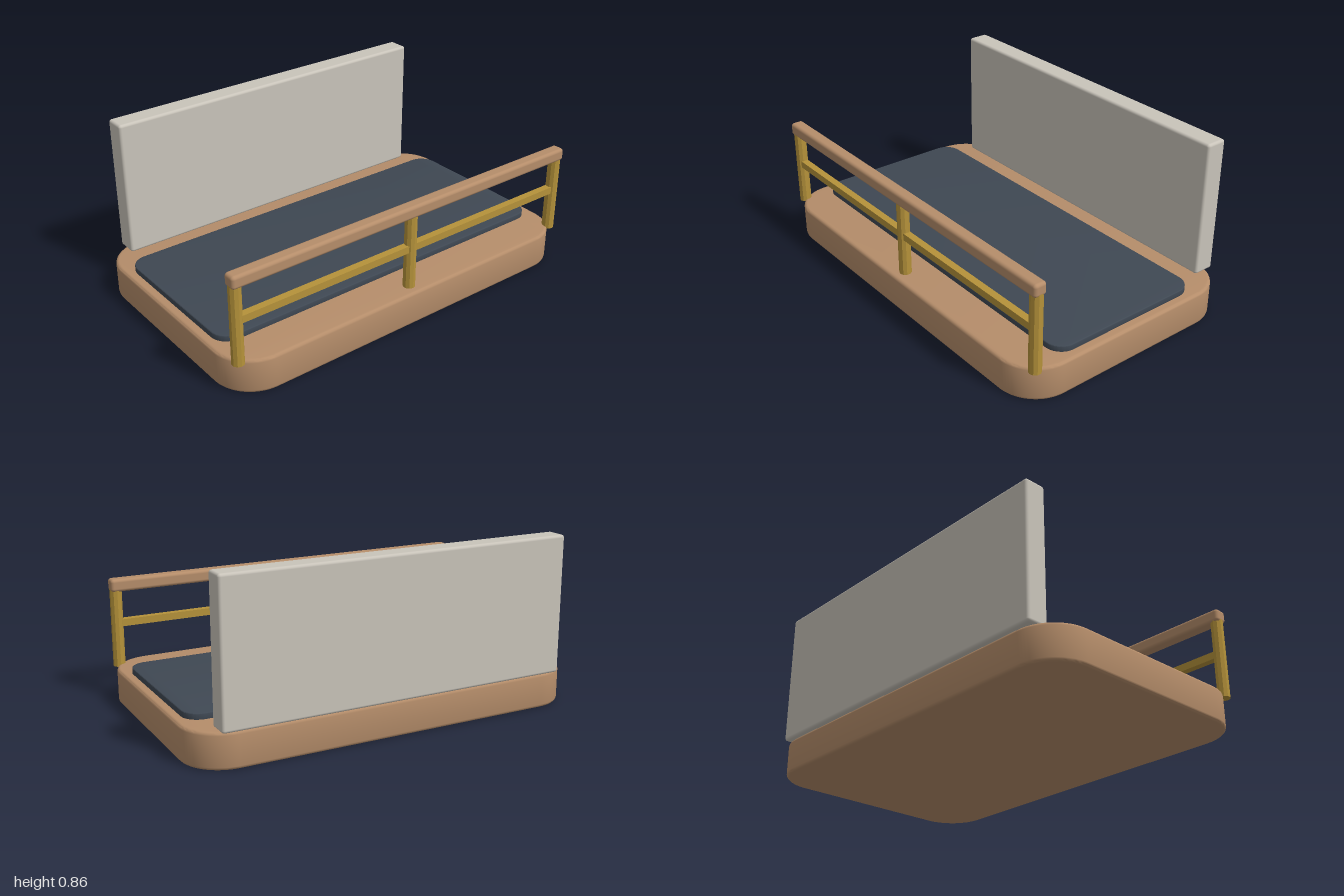
import * as THREE from 'three';
import { toCreasedNormals } from 'three/addons/utils/BufferGeometryUtils.js';
import { RoundedBoxGeometry } from 'three/addons/geometries/RoundedBoxGeometry.js';

// Horizontal slab with rounded plan corners and softened top and bottom edges
function slabGeometry(width, depth, height, radius, bevel) {
  const x = width / 2 - bevel, z = depth / 2 - bevel, r = radius - bevel;
  const s = new THREE.Shape();
  s.moveTo(-x + r, -z);
  s.absarc(x - r, -z + r, r, -Math.PI / 2, 0);
  s.absarc(x - r, z - r, r, 0, Math.PI / 2);
  s.absarc(-x + r, z - r, r, Math.PI / 2, Math.PI);
  s.absarc(-x + r, -z + r, r, Math.PI, Math.PI * 1.5);
  const g = new THREE.ExtrudeGeometry(s, {
    depth: height - 2 * bevel, bevelEnabled: true, bevelSize: bevel,
    bevelThickness: bevel, bevelSegments: 3, curveSegments: 10,
  });
  g.rotateX(-Math.PI / 2);
  g.translate(0, bevel, 0);
  return toCreasedNormals(g, 0.6);
}

export function createModel() {
  const wood = new THREE.MeshStandardMaterial({ color: 0xb58d6a });
  wood.name = 'wood';
  const slate = new THREE.MeshStandardMaterial({ color: 0x3f4853 });
  slate.name = 'slate';
  const plaster = new THREE.MeshStandardMaterial({ color: 0xc9c4ba });
  plaster.name = 'plaster';
  const brass = new THREE.MeshStandardMaterial({ color: 0xb5923a });
  brass.name = 'brass';

  const model = new THREE.Group();
  model.name = 'balcony';
  const add = (name, geometry, material, x, y, z, parent = model) => {
    const mesh = new THREE.Mesh(geometry, material);
    mesh.name = name;
    mesh.position.set(x, y, z);
    parent.add(mesh);
    return mesh;
  };

  // Floor platform and inset mat
  add('platform', slabGeometry(2, 1.225, 0.172, 0.2, 0.015), wood, 0, 0, 0.0075);
  add('floorMat', slabGeometry(1.91, 0.825, 0.04, 0.085, 0.004), slate, 0, 0.161, 0.0075);

  // Back wall
  add('backWall', new RoundedBoxGeometry(1.765, 0.682, 0.11, 3, 0.014), plaster, 0, 0.515, -0.565);

  // Railing: ten-sided posts, a thin middle bar and a rounded handrail
  const railing = new THREE.Group();
  railing.name = 'railing';
  railing.position.z = 0.552;
  model.add(railing);
  const postGeometry = toCreasedNormals(new THREE.CylinderGeometry(0.03, 0.03, 0.415, 10), 0.3);
  for (const x of [-0.957, 0, 0.957]) {
    add('railPost', postGeometry, brass, x, 0.3675, 0, railing);
  }
  add('middleBar', new THREE.BoxGeometry(1.914, 0.036, 0.036), brass, 0, 0.382, 0, railing);
  add('handrail', new RoundedBoxGeometry(1.972, 0.064, 0.066, 3, 0.016), wood, 0, 0.576, 0, railing);

  return model;
}
